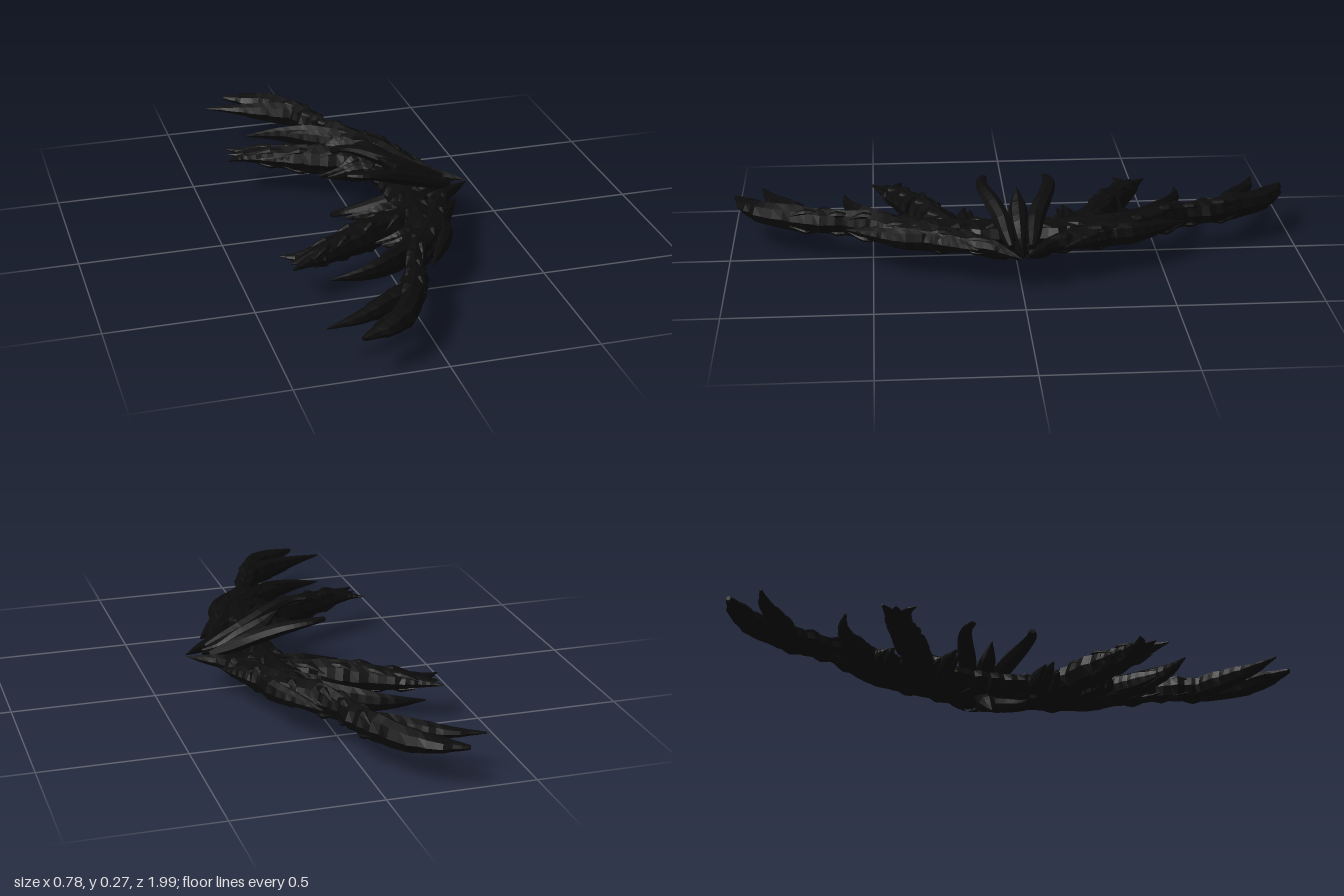
import * as THREE from 'three';

const MID = 0.137; // height of the symmetry plane
const black = new THREE.MeshStandardMaterial({ color: 0x0b0b0b });
black.name = 'black';
black.flatShading = true;
black.side = THREE.DoubleSide;

// Each path point: [x, z, half width, half height, height above the middle plane]
const WIDTH_JAG = [1, 1.12, 0.9, 1.05];
const SIDES = 8;

function sample(points, t) {
  const f = t * (points.length - 1);
  const i = Math.min(Math.floor(f), points.length - 2);
  return [2, 3].map((k) => THREE.MathUtils.lerp(points[i][k], points[i + 1][k], f - i));
}

// Loft a lens-shaped section along a path, closed to a point at both ends
function bladeGeometry(points, zSign, ySign, steps, jag) {
  const curve = new THREE.CatmullRomCurve3(
    points.map(([x, z, , , y = 0]) => new THREE.Vector3(x, MID + y * ySign, z * zSign)), false, 'centripetal');
  const pos = [], index = [], worldUp = new THREE.Vector3(0, 1, 0);
  for (let i = -1; i <= steps + 1; i++) {
    const t = THREE.MathUtils.clamp(i / steps, 0, 1);
    const c = curve.getPoint(t), tan = curve.getTangent(t);
    const side = tan.clone().cross(worldUp).normalize();
    const up = side.clone().cross(tan).normalize();
    let [w, h] = sample(points, t);
    if (jag) w *= WIDTH_JAG[(i + 4) % 4];
    if (i < 0 || i > steps) w = h = 0;
    for (let j = 0; j < SIDES; j++) {
      const a = (j / SIDES) * Math.PI * 2;
      const p = c.clone().addScaledVector(side, Math.cos(a) * w).addScaledVector(up, Math.sin(a) * h);
      pos.push(p.x, p.y, p.z);
    }
  }
  for (let i = 0; i < steps + 2; i++) {
    for (let j = 0; j < SIDES; j++) {
      const a = i * SIDES + j, b = i * SIDES + ((j + 1) % SIDES);
      index.push(a, a + SIDES, b, b, a + SIDES, b + SIDES);
    }
  }
  const g = new THREE.BufferGeometry();
  g.setAttribute('position', new THREE.Float32BufferAttribute(pos, 3));
  g.setIndex(index);
  g.computeVertexNormals();
  return g;
}

function blade(parent, name, points, zSign = 1, ySign = 1, steps = 16, jag = true) {
  const mesh = new THREE.Mesh(bladeGeometry(points, zSign, ySign, steps, jag), black);
  mesh.name = name;
  parent.add(mesh);
}

// Small splinters riding on the upper and lower faces of a feather
function splinters(parent, name, points, zSign, count, length) {
  const curve = new THREE.CatmullRomCurve3(
    points.map(([x, z]) => new THREE.Vector3(x, 0, z)), false, 'centripetal');
  for (let i = 0; i < count; i++) {
    const t = 0.2 + (0.6 * i) / count, s = i % 2 ? 1 : -1;
    const c = curve.getPoint(t), d = curve.getTangent(t);
    const [w, h] = sample(points, t);
    const ox = -d.z * s * w * 0.45, oz = d.x * s * w * 0.45;
    const at = (k, out) => [c.x + d.x * length * k + ox * out, c.z + d.z * length * k + oz * out];
    for (const ySign of [1, -1]) {
      blade(parent, name, [
        [...at(-0.4, 0.3), 0.006, 0.006, h * 0.6],
        [...at(0.1, 1), 0.016, 0.013, h * 0.75],
        [...at(0.6, 1.8), 0, 0, h * 0.35],
      ], zSign, ySign, 6, false);
    }
  }
}

const SPINE = [
  [0.39, 0.004, 0, 0], [0.34, 0.045, 0.012, 0.015], [0.27, 0.1, 0.027, 0.028], [0.22, 0.19, 0.045, 0.038],
  [0.17, 0.3, 0.055, 0.052], [0.1, 0.42, 0.06, 0.05], [0.045, 0.51, 0.04, 0.058], [0.012, 0.59, 0.026, 0.046],
  [-0.015, 0.68, 0.045, 0.044], [-0.05, 0.77, 0.038, 0.05], [-0.115, 0.885, 0.038, 0.042],
  [-0.19, 0.942, 0.04, 0.026], [-0.275, 0.99, 0.008, 0.008],
];
const BIG = [
  [0.17, 0.2, 0.04, 0.04], [0.04, 0.27, 0.055, 0.052], [-0.08, 0.32, 0.05, 0.058],
  [-0.2, 0.385, 0.045, 0.04], [-0.28, 0.425, 0.042, 0.026], [-0.375, 0.455, 0, 0],
];
const FEATHERS = {
  wingTipFeather: [[-0.03, 0.73, 0.03, 0.04], [-0.1, 0.775, 0.036, 0.045], [-0.18, 0.822, 0.03, 0.034],
    [-0.26, 0.865, 0.023, 0.018], [-0.365, 0.9, 0.003, 0.003]],
  outerFeather: [[0.06, 0.44, 0.04, 0.05], [-0.05, 0.535, 0.026, 0.045], [-0.16, 0.585, 0.018, 0.025],
    [-0.27, 0.6, 0.003, 0.003]],
  outerFeatherFork: [[0.06, 0.43, 0.03, 0.04], [-0.05, 0.51, 0.022, 0.035], [-0.17, 0.595, 0.002, 0.002]],
  longFeatherUpperTip: [[-0.1, 0.35, 0.04, 0.05], [-0.24, 0.425, 0.028, 0.03], [-0.31, 0.458, 0.02, 0.018],
    [-0.37, 0.5, 0.003, 0.003]],
  longFeatherLowerTip: [[-0.1, 0.33, 0.04, 0.05], [-0.25, 0.39, 0.024, 0.028], [-0.34, 0.41, 0.018, 0.012],
    [-0.39, 0.39, 0.002, 0.002]],
  longFeatherBarb: [[-0.05, 0.3, 0.04, 0.05], [-0.16, 0.34, 0.025, 0.035], [-0.27, 0.365, 0.002, 0.002]],
  shortFeather: [[0.12, 0.33, 0.04, 0.05], [0.02, 0.385, 0.022, 0.035], [-0.06, 0.385, 0.003, 0.003]],
  shortFeatherFork: [[0.1, 0.36, 0.03, 0.04], [0.02, 0.42, 0.02, 0.03], [-0.045, 0.405, 0.002, 0.002]],
  innerFeather: [[0.16, 0.17, 0.04, 0.04], [0.02, 0.185, 0.025, 0.035], [-0.105, 0.175, 0.004, 0.004]],
  innerFeatherFork: [[0.16, 0.15, 0.03, 0.035], [0.02, 0.16, 0.016, 0.03], [-0.08, 0.155, 0.003, 0.003]],
  midFeather: [[0.14, 0.25, 0.05, 0.045], [0.03, 0.23, 0.025, 0.04], [-0.03, 0.21, 0.003, 0.003]],
  leadingSpike: [[0.19, 0.25, 0.03, 0.04], [0.18, 0.39, 0.028, 0.04], [0.13, 0.49, 0.02, 0.025],
    [0.075, 0.59, 0.002, 0.002]],
  leadingSpikeFork: [[0.15, 0.35, 0.03, 0.04], [0.11, 0.47, 0.022, 0.03], [0.06, 0.555, 0.002, 0.002]],
  forwardSpike: [[0.16, 0.36, 0.03, 0.045], [0.21, 0.27, 0.03, 0.04], [0.26, 0.2, 0.018, 0.022],
    [0.3, 0.145, 0.003, 0.003]],
  shoulder: [[0.13, 0, 0.05, 0.04], [0.14, 0.1, 0.07, 0.045], [0.13, 0.22, 0.075, 0.048],
    [0.11, 0.36, 0.06, 0.05], [0.06, 0.46, 0.02, 0.03]],
};
// Curved horn, repeated above and below on both sides
const HORN = [
  [0.31, 0.035, 0.012, 0.012, 0.01], [0.25, 0.045, 0.024, 0.022, 0.03], [0.18, 0.055, 0.032, 0.028, 0.056],
  [0.1, 0.082, 0.032, 0.026, 0.088], [0.03, 0.108, 0.027, 0.019, 0.112], [-0.03, 0.118, 0.02, 0.012, 0.124],
  [-0.078, 0.108, 0.012, 0.008, 0.126],
];
// Flat spike on the centre line, repeated above and below
const CREST = [
  [0.33, 0, 0.006, 0.012, 0.006], [0.27, 0, 0.014, 0.022, 0.012], [0.19, 0, 0.032, 0.036, 0.046],
  [0.12, 0, 0.032, 0.032, 0.082], [0.085, 0, 0.016, 0.015, 0.112], [0.056, 0, 0, 0, 0.135],
];

export function createModel() {
  const model = new THREE.Group();
  model.name = 'wingedCrest';
  for (const zSign of [1, -1]) {
    const wing = new THREE.Group();
    wing.name = zSign > 0 ? 'frontWing' : 'backWing';
    model.add(wing);

    blade(wing, 'wingSpine', SPINE, zSign, 1, 44);
    blade(wing, 'longFeather', BIG, zSign, 1, 22);
    for (const [name, points] of Object.entries(FEATHERS)) blade(wing, name, points, zSign);

    splinters(wing, 'spineSplinter', SPINE, zSign, 12, 0.12);
    splinters(wing, 'featherSplinter', BIG, zSign, 7, 0.13);
    splinters(wing, 'shoulderSplinter', FEATHERS.shoulder, zSign, 5, 0.12);

    for (const ySign of [1, -1]) blade(wing, 'horn', HORN, zSign, ySign, 18, false);
  }
  for (const ySign of [1, -1]) blade(model, 'centreSpike', CREST, 1, ySign, 16, false);
  return model;
}
